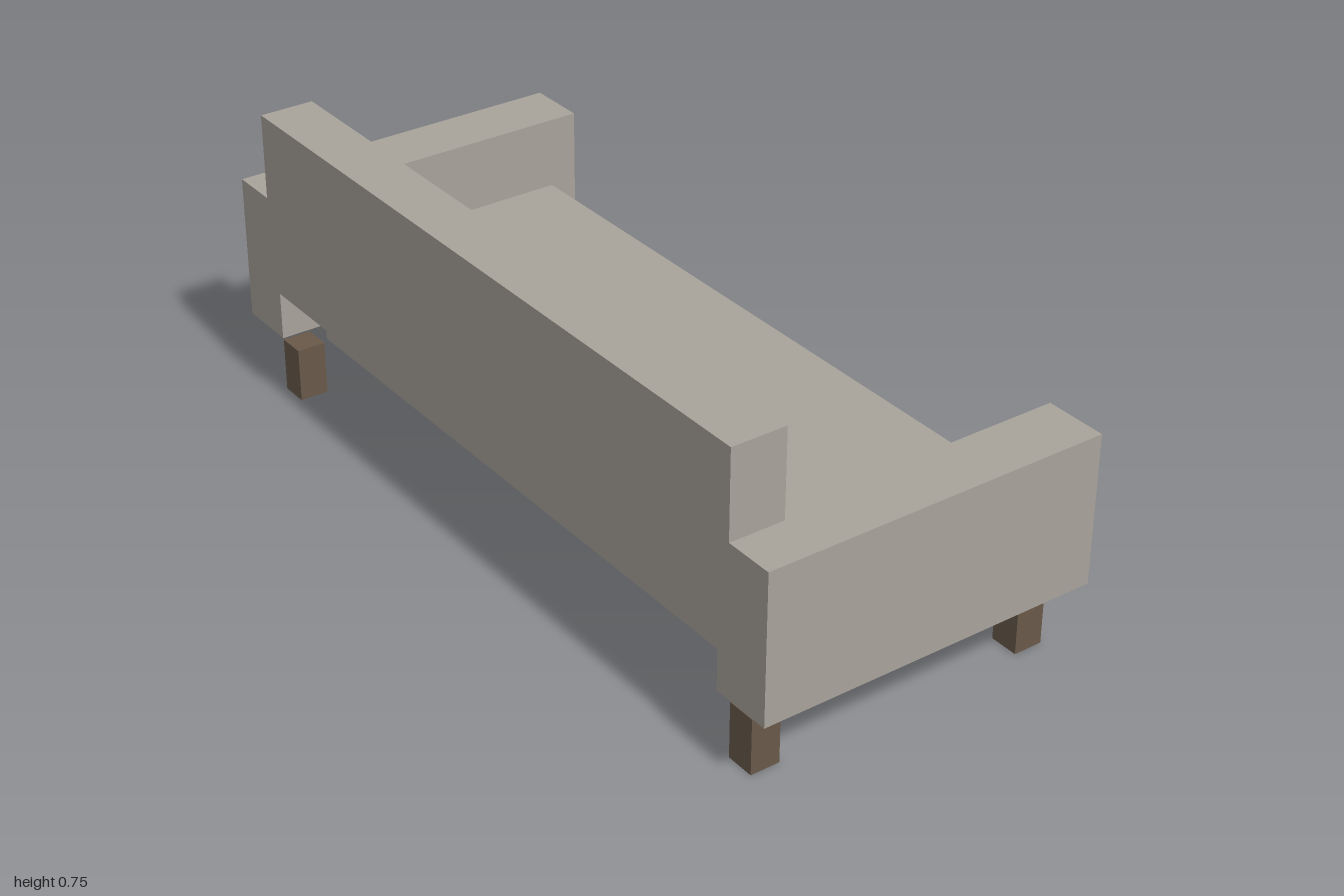
import * as THREE from 'three';

// Box given by its minimum and maximum on each axis
function box(name, material, [x0, x1], [y0, y1], [z0, z1]) {
  const mesh = new THREE.Mesh(new THREE.BoxGeometry(x1 - x0, y1 - y0, z1 - z0), material);
  mesh.position.set((x0 + x1) / 2, (y0 + y1) / 2, (z0 + z1) / 2);
  mesh.name = name;
  return mesh;
}

export function createModel() {
  const fabric = new THREE.MeshStandardMaterial({ color: 0xa8a39b, flatShading: true });
  const wood = new THREE.MeshStandardMaterial({ color: 0x69594a, flatShading: true });
  const sofa = new THREE.Group();
  sofa.name = 'sofa';

  // Seat block and raised backrest
  sofa.add(box('seat', fabric, [-0.85, 0.85], [0.142, 0.363], [-0.35, 0.302]));
  sofa.add(box('backrest', fabric, [-0.88, 0.88], [0.3, 0.747], [0.286, 0.418]));

  // Mirrored armrests and legs
  for (const side of [-1, 1]) {
    const label = side > 0 ? 'left' : 'right';
    const span = (inner, outer) => [inner * side, outer * side].sort((a, b) => a - b);
    sofa.add(box(label + 'Armrest', fabric, span(0.85, 1), [0.181, 0.538], [-0.418, 0.418]));
    sofa.add(box(label + 'BackrestLeg', wood, span(0.847, 0.917), [0, 0.135], [0.311, 0.382]));
    sofa.add(box(label + 'SeatLeg', wood, span(0.847, 0.917), [0, 0.135], [-0.381, -0.31]));
  }
  return sofa;
}
